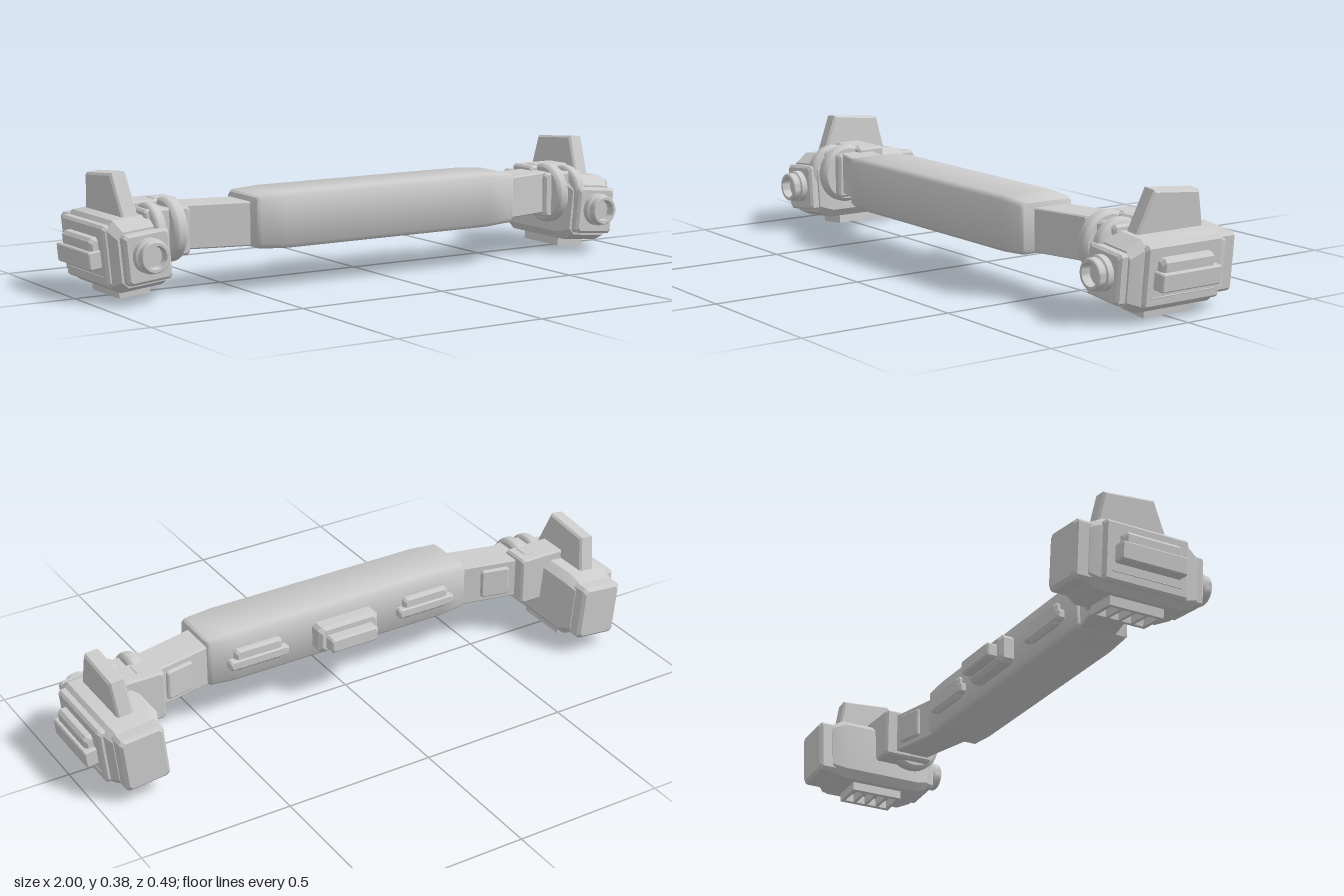
import * as THREE from 'three';
import { toCreasedNormals } from 'three/addons/utils/BufferGeometryUtils.js';

const grey = new THREE.MeshStandardMaterial({ color: 0xcccccc });
grey.name = 'plain grey';

function add(parent, geo, name, x = 0, y = 0, z = 0) {
  const m = new THREE.Mesh(geo, grey);
  m.name = name;
  m.position.set(x, y, z);
  parent.add(m);
  return m;
}

// Loft along z through chamfered rectangles [z, cx, cy, width, height, chamfer]
function loft(sections, crease = 0.5) {
  const rings = sections.map(([z, cx, cy, w, h, c]) => {
    const a = w / 2, b = h / 2;
    return [[a, -b + c], [a, b - c], [a - c, b], [-a + c, b], [-a, b - c], [-a, -b + c], [-a + c, -b], [a - c, -b]]
      .map(([x, y]) => new THREE.Vector3(cx + x, cy + y, z));
  });
  const pts = [];
  for (let k = 0; k < rings.length - 1; k++) {
    const a = rings[k], b = rings[k + 1];
    for (let i = 0; i < 8; i++) {
      const j = (i + 1) % 8;
      pts.push(a[i], a[j], b[j], a[i], b[j], b[i]);
    }
  }
  const first = rings[0], last = rings[rings.length - 1];
  for (let i = 1; i < 7; i++) {
    pts.push(first[0], first[i + 1], first[i]);
    pts.push(last[0], last[i], last[i + 1]);
  }
  return toCreasedNormals(new THREE.BufferGeometry().setFromPoints(pts), crease);
}

// Block centred on the origin with chamfered edges all round
function block(w, h, d, c = 0.008) {
  const e = d / 2;
  return loft([
    [-e, 0, 0, w - 2 * c, h - 2 * c, c], [-e + c, 0, 0, w, h, c],
    [e - c, 0, 0, w, h, c], [e, 0, 0, w - 2 * c, h - 2 * c, c],
  ]);
}

// Bevelled fin with a sloping top
function finGeometry() {
  const s = new THREE.Shape([[0.112, 0.09], [0.05, 0.239], [-0.125, 0.223], [-0.153, 0.09]]
    .map(([z, y]) => new THREE.Vector2(z, y)));
  return new THREE.ExtrudeGeometry(s, {
    depth: 0.04, bevelThickness: 0.007, bevelSize: 0.007, bevelOffset: -0.007, bevelSegments: 1,
  }).translate(0, 0, -0.02).rotateY(-Math.PI / 2);
}

// Round hinge disc with a rounded rim, axis along x
function discGeometry(r, t) {
  const prof = [[0, -t], [r - 0.012, -t], [r - 0.003, -t * 0.7], [r, -t * 0.4],
    [r, t * 0.4], [r - 0.003, t * 0.7], [r - 0.012, t], [0, t]];
  const g = new THREE.LatheGeometry(prof.map(([x, y]) => new THREE.Vector2(x, y)), 32);
  return toCreasedNormals(g.rotateZ(Math.PI / 2), 0.6);
}

// Hollow nozzle pointing to +z
function nozzleGeometry() {
  const prof = [[0.054, 0], [0.054, 0.02], [0.048, 0.024], [0.048, 0.044], [0.045, 0.048],
    [0.036, 0.048], [0.033, 0.02], [0, 0.02]];
  const g = new THREE.LatheGeometry(prof.map(([x, y]) => new THREE.Vector2(x, y)), 32);
  return toCreasedNormals(g.rotateX(Math.PI / 2), 0.6);
}

// Grille with four slots, facing down
function grilleGeometry() {
  const s = new THREE.Shape([[-0.052, -0.11], [0.052, -0.11], [0.052, 0.075], [-0.052, 0.075]]
    .map(([x, y]) => new THREE.Vector2(x, y)));
  for (let i = 0; i < 4; i++) {
    const y = -0.098 + i * 0.043;
    s.holes.push(new THREE.Path([[-0.038, y], [-0.038, y + 0.032], [0.038, y + 0.032], [0.038, y]]
      .map(([a, b]) => new THREE.Vector2(a, b))));
  }
  return new THREE.ExtrudeGeometry(s, { depth: 0.035, bevelEnabled: false }).rotateX(Math.PI / 2);
}

// End pod, leaning outwards; s is +1 for left, -1 for right
function makePod(s) {
  const pod = new THREE.Group();
  pod.name = s > 0 ? 'leftPod' : 'rightPod';
  pod.position.set(0.85 * s, 0.145, 0);
  pod.rotation.z = -0.1 * s;
  add(pod, loft([
    [-0.2, 0, 0, 0.155, 0.18, 0.02], [-0.155, 0, 0, 0.19, 0.222, 0.025],
    [0.122, 0, 0, 0.19, 0.222, 0.025], [0.17, 0, -0.005, 0.165, 0.17, 0.02],
  ]), 'podBody');
  add(pod, block(0.15, 0.185, 0.085, 0.01), 'rearBlock', 0, 0, -0.203);
  add(pod, block(0.15, 0.155, 0.06), 'frontPlate', 0, -0.003, 0.17);
  add(pod, nozzleGeometry(), 'nozzle', 0, 0.003, 0.2);
  add(pod, finGeometry(), 'fin', 0.002 * s);
  add(pod, grilleGeometry(), 'bottomGrille', 0, -0.105, 0);
  // Outer side panel with a stepped grip
  add(pod, block(0.04, 0.19, 0.29, 0.008), 'sidePanel', 0.087 * s, 0.004, -0.02);
  add(pod, block(0.008, 0.004, 0.24, 0.001), 'panelRidge', 0.105 * s, -0.059, -0.02);
  add(pod, block(0.045, 0.092, 0.2, 0.01), 'gripUpper', 0.113 * s, 0.016, -0.015);
  add(pod, block(0.055, 0.057, 0.225, 0.004), 'gripLower', 0.12 * s, -0.005, -0.018);
  return pod;
}

// Arm and hinge joining the bar to a pod
function makeArm(s) {
  const arm = new THREE.Group();
  arm.name = s > 0 ? 'leftArm' : 'rightArm';
  const strap = loft([
    [0.46, -s * 0.112, 0.208, 0.13, 0.138, 0.004], [0.7, -s * 0.058, 0.208, 0.125, 0.138, 0.004],
  ]).rotateY(s * Math.PI / 2);
  add(arm, strap, 'strap');
  const pad = add(arm, block(0.1, 0.1, 0.02, 0.005), 'strapPad', 0.6 * s, 0.208, 0.015);
  pad.rotation.y = s * 0.22;
  add(arm, block(0.165, 0.168, 0.1, 0.007), 'hingeBox', 0.757 * s, 0.207, 0.01);
  add(arm, block(0.155, 0.15, 0.1, 0.007), 'hingeFront', 0.755 * s, 0.2, 0.09);
  add(arm, block(0.05, 0.008, 0.05, 0.003), 'hingeCap', 0.73 * s, 0.29, 0.02);
  add(arm, discGeometry(0.1, 0.023), 'hingeDisc', 0.727 * s, 0.202, 0.085);
  add(arm, discGeometry(0.092, 0.02), 'innerHingeDisc', 0.797 * s, 0.2, 0.097);
  return arm;
}

export function createModel() {
  const model = new THREE.Group();
  model.name = 'crossbar';

  // Long padded bar with softly tapered ends
  const bar = loft([
    [-0.487, -0.122, 0.217, 0.18, 0.152, 0.012], [-0.478, -0.122, 0.217, 0.192, 0.164, 0.013],
    [-0.385, -0.122, 0.217, 0.201, 0.176, 0.014], [0.385, -0.122, 0.217, 0.201, 0.176, 0.014],
    [0.478, -0.122, 0.217, 0.192, 0.164, 0.013], [0.487, -0.122, 0.217, 0.18, 0.152, 0.012],
  ], 0.9).rotateY(Math.PI / 2);
  add(model, bar, 'bar');

  // Mounts along the back of the bar
  add(model, block(0.225, 0.095, 0.06, 0.012), 'centreMountBase', 0, 0.212, 0.003);
  add(model, block(0.175, 0.05, 0.09, 0.006), 'centreMountRail', 0, 0.205, -0.02);
  for (const s of [1, -1]) {
    add(model, block(0.17, 0.075, 0.03, 0.008), 'sideMountBase', 0.317 * s, 0.215, 0.018);
    add(model, block(0.215, 0.035, 0.04, 0.006), 'sideMountRail', 0.317 * s, 0.203, 0.018);
    model.add(makeArm(s), makePod(s));
  }
  return model;
}
